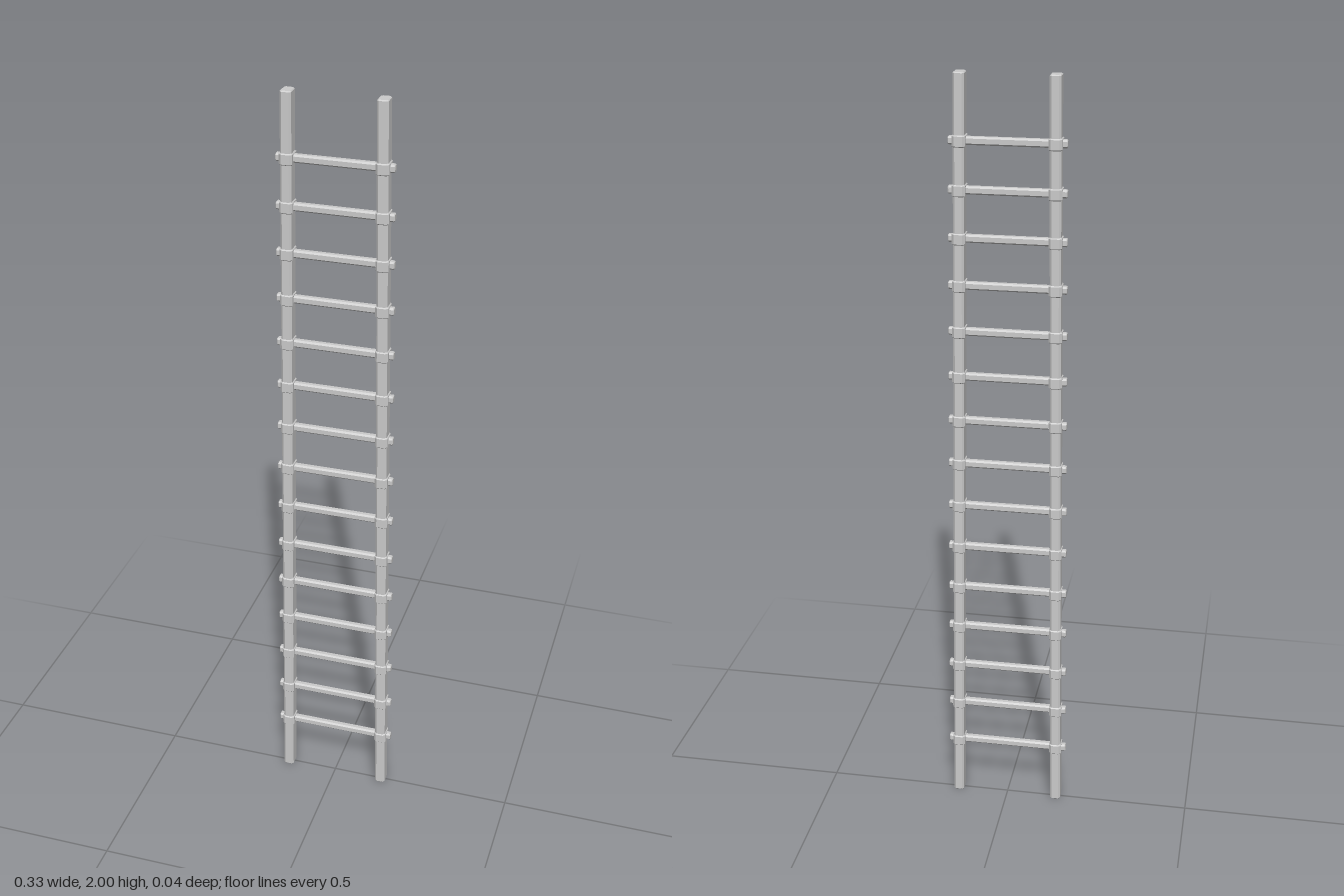
import * as THREE from 'three';

const material = new THREE.MeshStandardMaterial({ color: 0xcccccc, flatShading: true });

// Square bar with cut corners and bevelled ends, centred, running along y
function bar(name, w, d, length, cut) {
  const x = w / 2, z = d / 2, b = cut * 0.5;
  const s = new THREE.Shape([
    [x - cut, -z], [x, -z + cut], [x, z - cut], [x - cut, z],
    [-x + cut, z], [-x, z - cut], [-x, -z + cut], [-x + cut, -z],
  ].map(p => new THREE.Vector2(...p)));
  const g = new THREE.ExtrudeGeometry(s, {
    depth: length - 2 * b, bevelEnabled: true, bevelSegments: 1,
    bevelThickness: b, bevelSize: b, bevelOffset: -b,
  });
  g.translate(0, 0, b - length / 2).rotateX(-Math.PI / 2);
  const mesh = new THREE.Mesh(g, material);
  mesh.name = name;
  return mesh;
}

export function createModel() {
  const ladder = new THREE.Group();
  ladder.name = 'ladder';
  const bottomX = 0.137, topX = 0.115;
  const lean = Math.atan((bottomX - topX) / 2);
  const railX = y => bottomX + (topX - bottomX) * y / 2;

  // Side rails, closer together at the top
  for (const side of [1, -1]) {
    const rail = bar(side > 0 ? 'leftRail' : 'rightRail', 0.028, 0.038, 2, 0.005);
    rail.position.set(side * railX(1), 1, 0);
    rail.rotation.z = side * lean;
    ladder.add(rail);
  }

  // Rungs pass through the rails, with a thin collar at each joint
  const count = 15;
  for (let i = 0; i < count; i++) {
    const y = 0.163 + i * 0.1196;
    const rung = bar('rung' + (i + 1), 0.02, 0.018, 2 * (railX(y) + 0.028), 0.004);
    rung.rotation.z = Math.PI / 2;
    rung.position.y = y;
    ladder.add(rung);
    for (const side of [1, -1]) {
      const collar = bar('jointCollar', 0.033, 0.043, 0.03, 0.006);
      collar.position.set(side * railX(y), y, 0);
      collar.rotation.z = side * lean;
      ladder.add(collar);
    }
  }
  return ladder;
}
